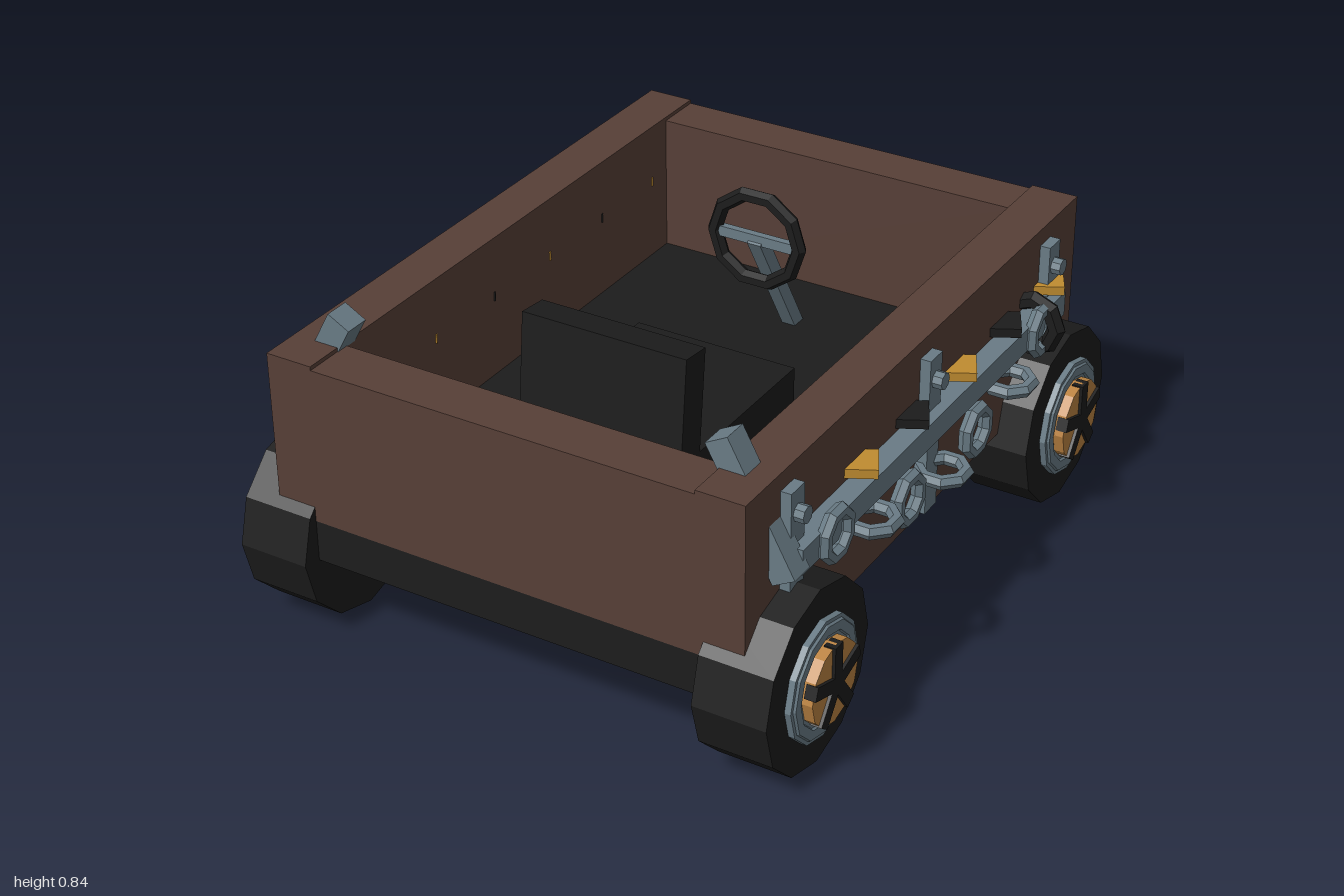
import * as THREE from 'three';

const mat = (name, color) => Object.assign(new THREE.MeshStandardMaterial({ color, flatShading: true }), { name });

export function createModel() {
  const wood = mat('brown wood', 0x573f37);
  const black = mat('black', 0x1c1c1c);
  const steel = mat('blue grey steel', 0x697b85);
  const gold = mat('gold', 0xc08c30);
  const copper = mat('copper', 0xbb8342);
  const root = new THREE.Group();
  root.name = 'cart';

  function add(parent, name, geo, m, x = 0, y = 0, z = 0) {
    const mesh = new THREE.Mesh(geo, m);
    mesh.name = name;
    mesh.position.set(x, y, z);
    parent.add(mesh);
    return mesh;
  }
  // Box given by its size and centre
  const box = (parent, name, m, w, h, d, x, y, z) =>
    add(parent, name, new THREE.BoxGeometry(w, h, d), m, x, y, z);
  const disc = (r, len, n) => new THREE.CylinderGeometry(r, r, len, n).rotateZ(Math.PI / 2);

  // Open wooden body on a dark floor, end walls slightly lower than the sides
  box(root, 'floor', black, 1.2, 0.11, 1.68, 0, 0.28, 0.11);
  box(root, 'innerFloor', black, 1.03, 0.05, 1.43, 0, 0.355, 0.1075);
  for (const s of [-1, 1]) {
    box(root, 'sideWall', wood, 0.125, 0.49, 1.68, s * 0.5725, 0.515, 0.11);
  }
  box(root, 'frontWall', wood, 1.03, 0.415, 0.135, 0, 0.5425, 0.8825);
  box(root, 'backWall', wood, 1.03, 0.415, 0.13, 0, 0.5425, -0.665);
  box(root, 'towPlate', steel, 0.3, 0.07, 0.3, 0, 0.312, -0.85);

  // Seat, facing the back wall
  const seat = new THREE.Group();
  seat.name = 'seat';
  root.add(seat);
  box(seat, 'cushion', black, 0.45, 0.12, 0.46, 0, 0.44, 0.23);
  const back = new THREE.Group();
  back.name = 'seatBack';
  back.position.set(0, 0.632, 0.482);
  back.rotation.x = -0.1;
  seat.add(back);
  box(back, 'backrest', black, 0.45, 0.28, 0.085, 0, 0, 0);
  box(back, 'backrestPanel', wood, 0.35, 0.24, 0.03, 0, 0, -0.055);

  // Steering wheel and column
  const steering = new THREE.Group();
  steering.name = 'steering';
  steering.position.set(0, 0.707, -0.203);
  root.add(steering);
  add(steering, 'steeringWheel', new THREE.TorusGeometry(0.121, 0.02, 6, 10), black);
  box(steering, 'steeringSpoke', steel, 0.22, 0.028, 0.02, 0, 0, 0);
  const column = box(steering, 'steeringColumn', steel, 0.038, 0.038, 0.394, 0, -0.17, -0.1);
  column.rotation.x = -Math.atan2(0.34, 0.2);

  // Wheels
  function wheel(s, z) {
    const g = new THREE.Group();
    g.name = 'wheel';
    g.position.set(s * 0.625, 0.235, z);
    root.add(g);
    add(g, 'tire', disc(0.235, 0.19, 12), black);
    add(g, 'rimPlate', disc(0.155, 0.03, 12), steel, s * 0.096);
    const ring = new THREE.TorusGeometry(0.13, 0.024, 6, 12).rotateY(Math.PI / 2);
    add(g, 'rimRing', ring, steel, s * 0.096);
    add(g, 'hubDisc', disc(0.106, 0.045, 12), copper, s * 0.1155);
    for (let i = 0; i < 5; i++) {
      const arm = new THREE.BoxGeometry(0.03, 0.106, 0.035).translate(0, 0.052, 0).rotateX(i * Math.PI * 0.4);
      add(g, 'spoke', arm, black, s * 0.131);
    }
  }

  // Fittings on each side: rail, straps, chain, pegs and a loop
  const pegs = [0.472, 0.222, -0.028, -0.275, -0.525];
  const links = [[0.655, 0.545], [0.48, 0.485], [0.3, 0.44], [0.12, 0.42], [-0.055, 0.44], [-0.235, 0.485], [-0.41, 0.545]];
  for (const s of [-1, 1]) {
    wheel(s, 0.768);
    wheel(s, -0.545);
    box(root, 'sideRail', steel, 0.055, 0.065, 1.36, s * 0.6625, 0.545, 0.115);
    for (const z of [0.77, 0.11, -0.545]) {
      box(root, 'strap', steel, 0.03, 0.42, 0.06, s * 0.647, 0.505, z);
      add(root, 'strapBolt', disc(0.022, 0.03, 8), steel, s * 0.672, 0.655, z);
    }
    links.forEach(([z, y], i) => {
      const geo = new THREE.TorusGeometry(0.057, 0.018, 6, 8).rotateZ(Math.PI / 8);
      if (i % 2) geo.rotateX(Math.PI / 2);
      else geo.rotateY(Math.PI / 2);
      add(root, 'chainLink', geo, steel, s * 0.695, y, z);
    });
    pegs.forEach((z, i) => {
      const peg = box(root, 'peg', i % 2 ? black : gold, 0.175, 0.024, 0.09, s * 0.605, 0.6, z);
      peg.rotation.y = 0.48;
    });
    add(root, 'darkLoop', new THREE.TorusGeometry(0.066, 0.024, 6, 8), black, s * 0.663, 0.545, -0.43);

    // Slanted post through the front corner of the wall
    const post = box(root, 'cornerPost', steel, 0.064, 0.355, 0.066, s * 0.587, 0.672, 0.815);
    post.rotation.z = s * 0.5;
  }
  return root;
}
